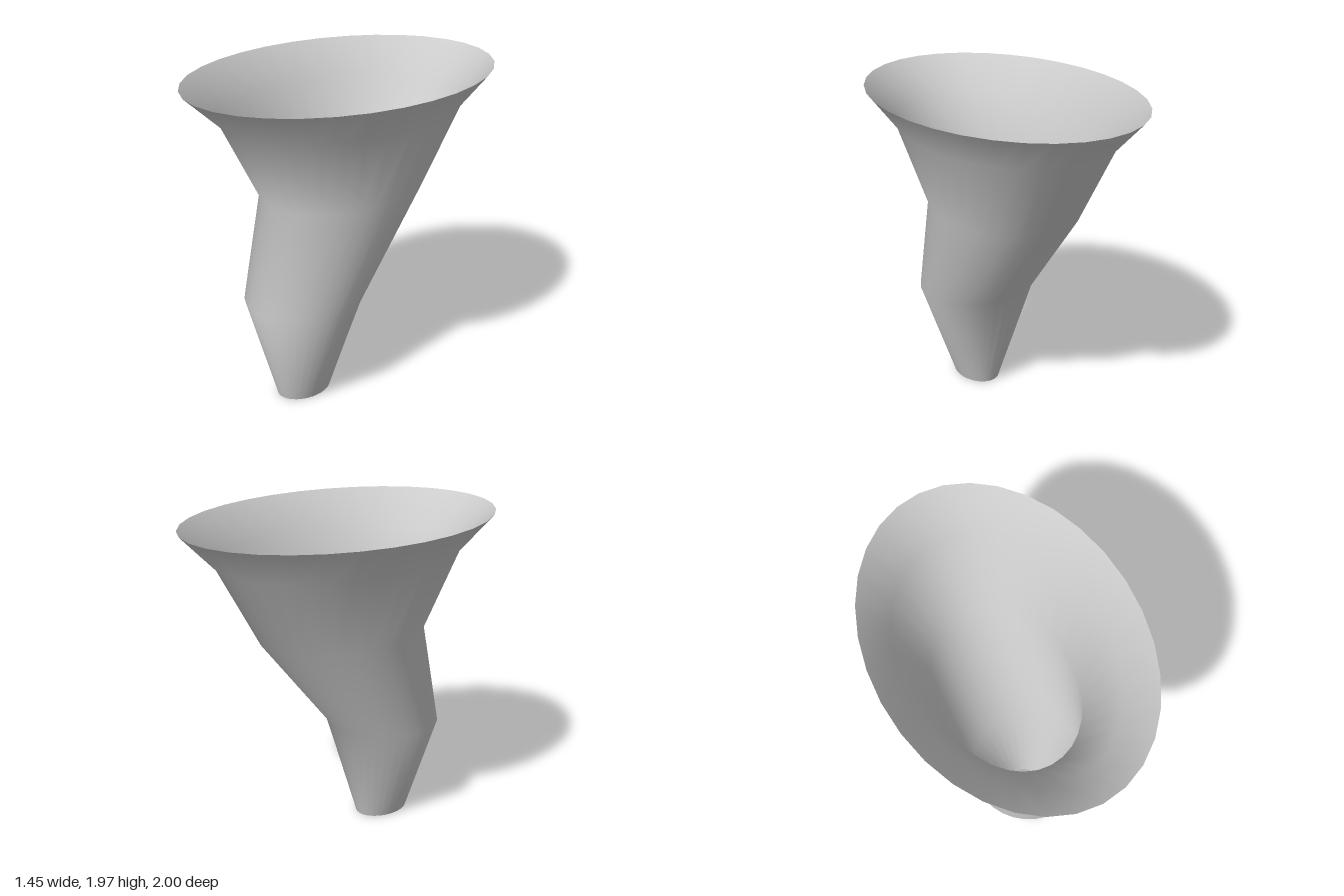
import * as THREE from 'three';

// Elliptical rings from the bottom up: half width, front z, back z, front y, back y
const RINGS = [
  [0.13, 0.495, 0.14, 0.005, 0.005],
  [0.36, 0.66, -0.04, 0.64, 0.66],
  [0.41, 0.535, -0.535, 1.285, 1.28],
  [0.57, 0.78, -0.795, 1.77, 1.76],
  [0.725, 1, -1, 1.975, 1.97],
];

// Smooth tube through the rings, open at both ends
function loft(rings, sides) {
  const positions = [];
  const index = [];
  rings.forEach(([rx, zFront, zBack, yFront, yBack], r) => {
    for (let i = 0; i < sides; i++) {
      const a = (i / sides) * Math.PI * 2;
      const t = (1 - Math.cos(a)) / 2; // 0 at the front, 1 at the back
      positions.push(
        rx * Math.sin(a),
        THREE.MathUtils.lerp(yFront, yBack, t),
        THREE.MathUtils.lerp(zFront, zBack, t)
      );
      if (r > 0) {
        const j = (i + 1) % sides;
        const low = (r - 1) * sides;
        const high = r * sides;
        index.push(low + i, low + j, high + j, low + i, high + j, high + i);
      }
    }
  });
  const geometry = new THREE.BufferGeometry();
  geometry.setAttribute('position', new THREE.Float32BufferAttribute(positions, 3));
  geometry.setIndex(index);
  geometry.computeVertexNormals();
  return geometry;
}

export function createModel() {
  const group = new THREE.Group();
  group.name = 'leaningFunnel';

  // Thin flared shell, visible from inside and outside
  const material = new THREE.MeshStandardMaterial({ color: 0xcccccc, side: THREE.DoubleSide });
  const shell = new THREE.Mesh(loft(RINGS, 32), material);
  shell.name = 'funnelShell';
  group.add(shell);

  return group;
}
